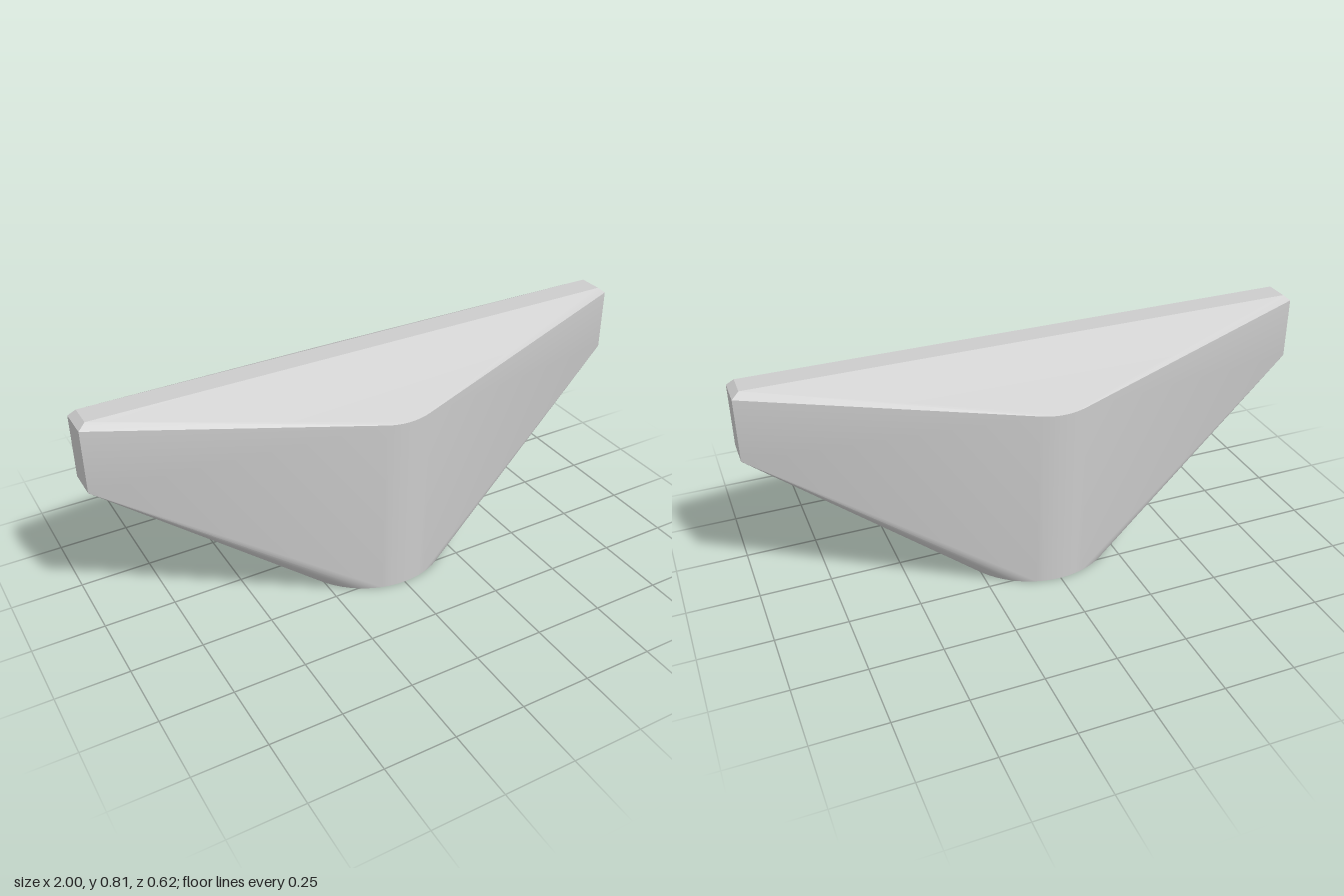
import * as THREE from 'three';
import { ConvexGeometry } from 'three/addons/geometries/ConvexGeometry.js';
import { toCreasedNormals } from 'three/addons/utils/BufferGeometryUtils.js';

export function createModel() {
  const group = new THREE.Group();
  group.name = 'taperedWedge';
  const grey = new THREE.MeshStandardMaterial({ color: 0xcccccc });
  grey.name = 'light grey';

  const points = [];
  const add = (x, y, z) => points.push(new THREE.Vector3(x, y, z));

  // Round foot
  const sides = 64;
  for (let i = 0; i < sides; i++) {
    const a = (i / sides) * Math.PI * 2;
    add(0.298 * Math.cos(a), 0, 0.298 * Math.sin(a));
  }

  for (const sz of [-1, 1]) {
    // Rounded middle of the front and back shoulders
    for (let i = -4; i <= 4; i++) {
      const a = (i / 4) * 0.262;
      const z = 0.31 * Math.cos(a);
      add(0.31 * Math.sin(a), 0.665 + (0.31 - z) * 0.5, sz * z);
    }
    // Narrow end faces and the flat top ridge
    for (const sx of [-1, 1]) {
      add(sx, 0.575, sz * 0.055);
      add(sx, 0.795, sz * 0.055);
      add(sx * 0.975, 0.815, sz * 0.043);
    }
  }

  // Convex body, smooth around the foot and sharp at the edges
  const body = new THREE.Mesh(toCreasedNormals(new ConvexGeometry(points), 0.4), grey);
  body.name = 'body';
  group.add(body);
  return group;
}
